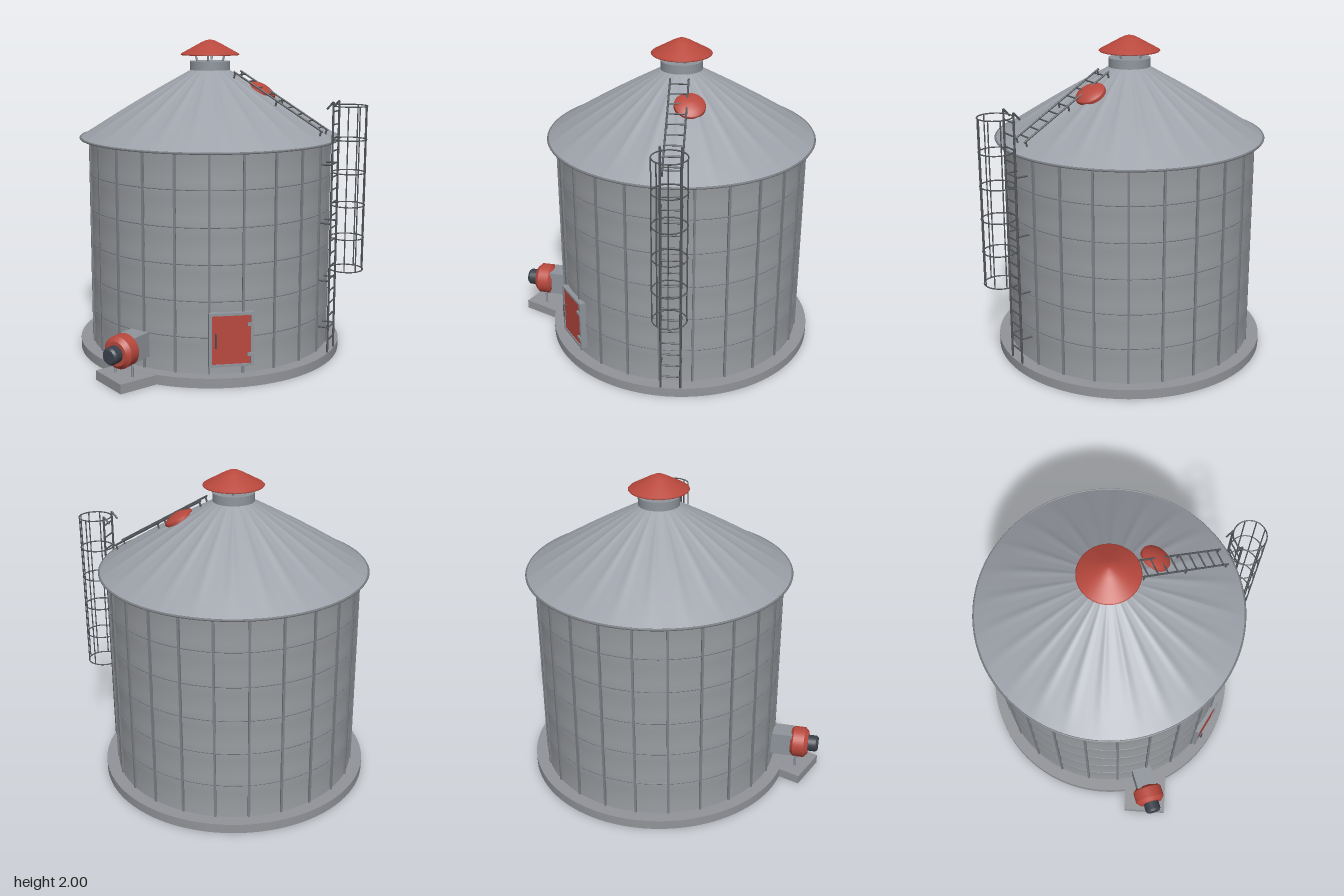
import * as THREE from 'three';

const mat = (name, color, side = THREE.FrontSide) => {
  const m = new THREE.MeshStandardMaterial({ color, side });
  m.name = name;
  return m;
};

export function createModel() {
  const wallGrey = mat('galvanised wall', 0x989b9f);
  const roofGrey = mat('roof sheet', 0x9da1a9);
  const concrete = mat('concrete', 0x929499);
  const trim = mat('stiffener steel', 0x7c8085);
  const frameGrey = mat('frame steel', 0x8f959c);
  const dark = mat('ladder steel', 0x54575b);
  const red = mat('red paint', 0xb8483d);
  const motorDark = mat('motor dark', 0x3a404a);

  const root = new THREE.Group();
  root.name = 'grainSilo';
  const silo = new THREE.Group();
  silo.name = 'silo';
  silo.position.set(0.087, 0, -0.038);
  root.add(silo);

  const add = (parent, name, geo, material, x = 0, y = 0, z = 0) => {
    const m = new THREE.Mesh(geo, material);
    m.name = name;
    m.position.set(x, y, z);
    parent.add(m);
    return m;
  };
  const box = (parent, name, w, h, d, material, x, y, z) =>
    add(parent, name, new THREE.BoxGeometry(w, h, d), material, x, y, z);
  const lathe = (parent, name, pts, material, seg = 96) =>
    add(parent, name, new THREE.LatheGeometry(pts.map(p => new THREE.Vector2(...p)), seg), material);
  const rod = (parent, name, a, b, r, material) => {
    const A = new THREE.Vector3(...a), B = new THREE.Vector3(...b);
    const dir = B.clone().sub(A);
    const m = add(parent, name, new THREE.CylinderGeometry(r, r, dir.length(), 8), material);
    m.position.copy(A).add(B).multiplyScalar(0.5);
    m.quaternion.setFromUnitVectors(new THREE.Vector3(0, 1, 0), dir.normalize());
    return m;
  };
  const ring = (parent, name, r, tube, y, material, z = 0, seg = 96) => {
    const m = add(parent, name, new THREE.TorusGeometry(r, tube, 6, seg), material, 0, y, z);
    m.rotation.x = Math.PI / 2;
    return m;
  };
  // Group at an angle round the silo, whose local +z points outward
  const bay = (name, degrees) => {
    const g = new THREE.Group();
    g.name = name;
    g.rotation.y = THREE.MathUtils.degToRad(degrees);
    silo.add(g);
    return g;
  };

  // Foundation
  add(silo, 'foundation', new THREE.CylinderGeometry(0.857, 0.857, 0.06, 96), concrete, 0, 0.03, 0);

  // Wall of six slightly pinched tiers, with seam rings
  const R = 0.778, tiers = 6, y0 = 0.06, tierH = 0.2205;
  const wall = [];
  for (let i = 0; i <= tiers * 4; i++) {
    wall.push([R - 0.005 * Math.abs(Math.sin(i * Math.PI / 4)), y0 + tierH * i / 4]);
  }
  lathe(silo, 'wall', wall, wallGrey);
  for (let i = 1; i < tiers; i++) ring(silo, 'seamRing', R, 0.004, y0 + 0.004 + i * tierH, trim);

  // Vertical stiffeners
  for (let i = 0; i < 24; i++) {
    box(bay('stiffenerBay', 7.5 + i * 15), 'stiffener', 0.014, 1.32, 0.016, trim, 0, 0.72, R);
  }

  // Conical roof with soft radial ribs
  const eaveR = 0.832, eaveY = 1.388, slope = 0.595;
  const roofY = r => eaveY + (eaveR - r) * slope;
  const cone = [];
  for (let i = 0; i <= 10; i++) {
    const r = eaveR - i * 0.0712;
    cone.push([r, roofY(r)]);
  }
  const roof = lathe(silo, 'roof', cone, roofGrey, 240);
  const p = roof.geometry.attributes.position;
  for (let i = 0; i < p.count; i++) {
    const x = p.getX(i), z = p.getZ(i), t = (eaveR - Math.hypot(x, z)) / 0.712;
    const wave = (0.5 + 0.5 * Math.cos(24 * Math.atan2(x, z))) ** 3;
    p.setY(i, p.getY(i) + 0.009 * wave * Math.sin(Math.PI * Math.min(1, Math.max(0, t))));
  }
  roof.geometry.computeVertexNormals();
  lathe(silo, 'eaveSoffit', [[0.76, 1.38], [eaveR, 1.38]], roofGrey);
  ring(silo, 'eaveRim', eaveR, 0.007, 1.386, trim);

  // Vent collar and rain cap
  add(silo, 'collarNeck', new THREE.CylinderGeometry(0.124, 0.124, 0.09, 48), roofGrey, 0, 1.78, 0);
  add(silo, 'collar', new THREE.CylinderGeometry(0.129, 0.129, 0.055, 48), frameGrey, 0, 1.8375, 0);
  for (let i = 0; i < 4; i++) {
    rod(bay('capLegBay', 45 + i * 90), 'capLeg', [0, 1.86, 0.08], [0, 1.92, 0.098], 0.007, frameGrey);
  }
  lathe(silo, 'rainCapTop', [[0.184, 1.903], [0.188, 1.908], [0.182, 1.914], [0.12, 1.948],
    [0.06, 1.981], [0.025, 1.997], [0, 2]], red, 64);
  lathe(silo, 'rainCapUnderside', [[0, 1.925], [0.184, 1.903]], red, 64);

  // Roof hatch lying on the slope
  const hatchBay = bay('hatchBay', 40);
  const hatch = new THREE.Group();
  hatch.name = 'roofHatch';
  hatch.position.set(0, roofY(0.337), 0.337);
  hatch.rotation.x = Math.atan(slope);
  hatchBay.add(hatch);
  lathe(hatch, 'hatchLid', [[0.094, -0.02], [0.094, 0.012], [0.09, 0.018], [0.065, 0.03], [0.035, 0.038], [0, 0.04]], red, 40);

  // Wall ladder with hooked rail tops and stand-offs
  const ladder = bay('wallLadder', 28);
  const LR = 0.846, half = 0.06;
  for (const s of [-1, 1]) {
    const x = s * half;
    rod(ladder, 'ladderRail', [x, 0.06, LR], [x, 1.64, LR], 0.007, dark);
    rod(ladder, 'railHook', [x, 1.64, LR], [x, 1.595, LR - 0.04], 0.006, dark);
    for (const y of [0.222, 0.524, 0.89, 1.255]) {
      rod(ladder, 'standOff', [x, y, LR], [x, y, 0.75], 0.006, dark);
    }
  }
  for (let i = 0; i < 19; i++) {
    const y = 0.14 + i * 0.08;
    rod(ladder, 'rung', [-half, y, LR], [half, y, LR], 0.005, dark);
  }

  // Safety cage
  const cageZ = 0.934, cageR = 0.102;
  for (let i = 0; i < 6; i++) ring(ladder, 'cageHoop', cageR, 0.004, 0.603 + i * 0.2025, dark, cageZ, 40);
  for (const deg of [-80, -40, 0, 40, 80]) {
    const a = THREE.MathUtils.degToRad(deg);
    const x = cageR * Math.sin(a), z = cageZ + cageR * Math.cos(a);
    rod(ladder, 'cageBar', [x, 0.603, z], [x, 1.6155, z], 0.004, dark);
  }

  // Roof ladder along the slope
  const roofLadder = bay('roofLadder', 28);
  const lift = 0.035, rTop = 0.19, rBot = 0.78;
  const at = (x, r) => [x, roofY(r) + lift, r];
  for (const s of [-1, 1]) {
    const x = s * 0.055;
    rod(roofLadder, 'roofRail', at(x, rBot), at(x, rTop), 0.006, dark);
    for (const r of [rBot - 0.01, 0.48, rTop + 0.01]) {
      rod(roofLadder, 'roofRailFoot', at(x, r), [x, roofY(r) - 0.005, r - 0.01], 0.006, dark);
    }
  }
  for (let i = 0; i < 9; i++) {
    const r = rTop + 0.035 + i * 0.065;
    rod(roofLadder, 'roofRung', at(-0.055, r), at(0.055, r), 0.005, dark);
  }

  // Access door: frame, leaf, hinges and handle
  const door = bay('accessDoor', -28);
  const dz = 0.78, dy = 0.275;
  for (const s of [-1, 1]) {
    box(door, 'doorJamb', 0.018, 0.33, 0.045, frameGrey, s * 0.126, dy, dz);
    box(door, 'doorRail', 0.27, 0.016, 0.045, frameGrey, 0, dy + s * 0.157, dz);
    box(door, 'hinge', 0.04, 0.018, 0.012, frameGrey, 0.115, dy + s * 0.092, dz + 0.024);
    rod(door, 'handlePost', [-0.095, dy + s * 0.04, dz], [-0.095, dy + s * 0.04, dz + 0.036], 0.005, dark);
  }
  box(door, 'doorLeaf', 0.238, 0.3, 0.036, red, 0, dy, dz);
  rod(door, 'handleGrip', [-0.095, dy - 0.044, dz + 0.036], [-0.095, dy + 0.044, dz + 0.036], 0.005, dark);

  // Aeration fan: duct, housing, motor and legs
  const fan = bay('aerationFan', -70);
  const fy = 0.21;
  box(fan, 'fanDuct', 0.13, 0.155, 0.17, frameGrey, 0, fy, 0.825);
  const turned = (name, pts, material) => {
    const m = lathe(fan, name, pts, material, 40);
    m.rotation.x = Math.PI / 2;
    m.position.y = fy;
  };
  turned('fanHousing', [[0, 0.9], [0.08, 0.9], [0.08, 0.9], [0.1, 0.918], [0.1, 0.918],
    [0.1, 0.99], [0.1, 0.99], [0.075, 1.015], [0.075, 1.015], [0, 1.015]], red);
  turned('fanMotor', [[0.053, 1.01], [0.053, 1.066], [0.053, 1.066], [0.042, 1.08], [0.042, 1.08], [0, 1.08]], motorDark);
  for (const s of [-1, 1]) rod(fan, 'fanLeg', [s * 0.065, 0.05, 0.94], [s * 0.065, 0.16, 0.94], 0.008, frameGrey);

  // Fan pad
  box(root, 'fanPad', 0.275, 0.059, 0.28, concrete, -0.758, 0.0295, 0.267);
  return root;
}
